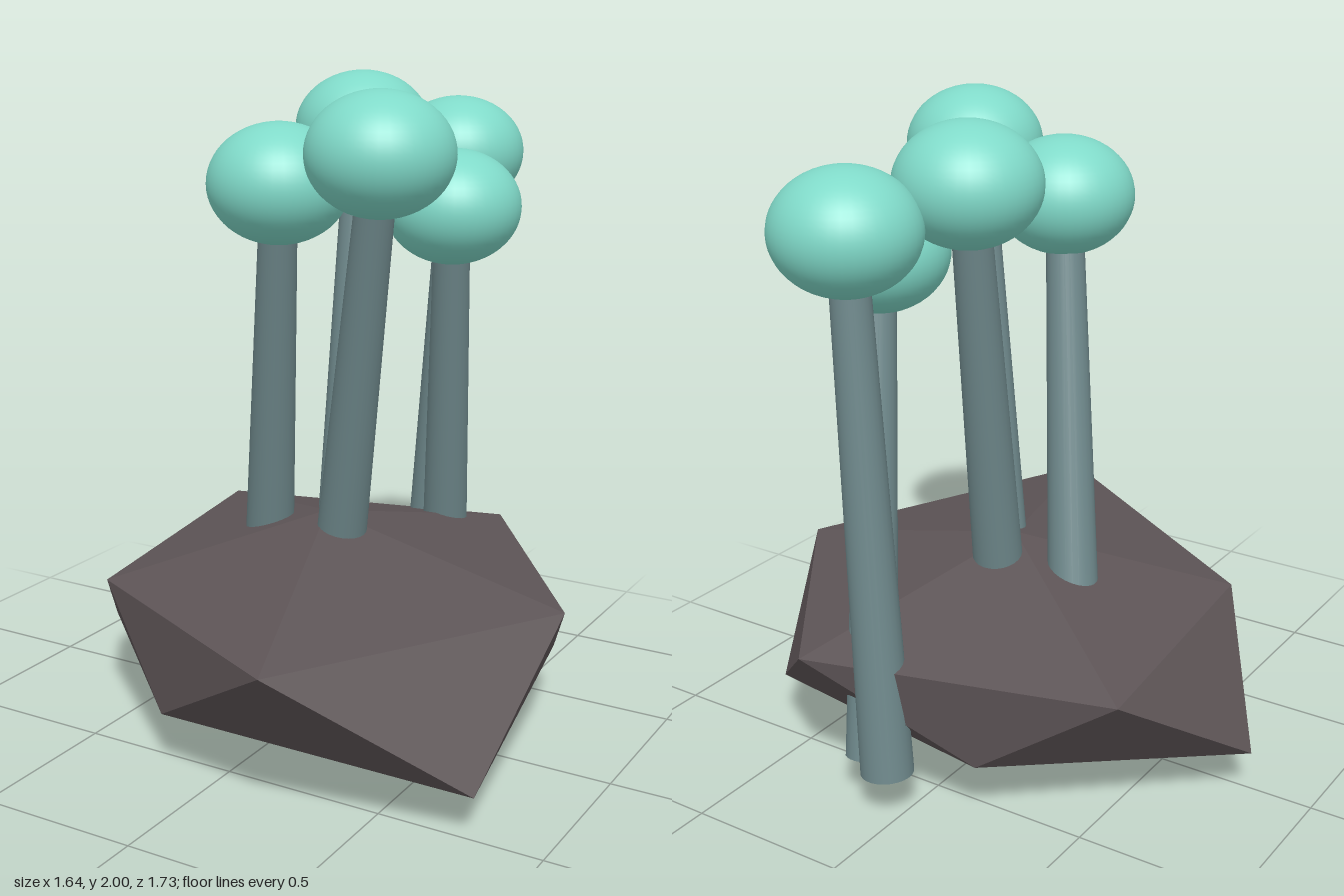
import * as THREE from 'three';

const stone = new THREE.MeshStandardMaterial({ color: 0x5e5557 });
stone.name = 'darkStone';
stone.flatShading = true;
const bark = new THREE.MeshStandardMaterial({ color: 0x6f898c });
bark.name = 'greyTealBark';
const leaf = new THREE.MeshStandardMaterial({ color: 0x80dac9 });
leaf.name = 'mintFoliage';

// Rock: an uneven twelve-cornered boulder, a peak, two rings of five and a foot
function makeRock() {
  const peak = [0.02, 0.665, -0.04];
  const foot = [0.04, 0, -0.04];
  const upper = [[0.335, 0.51, 0.865], [0.82, 0.48, -0.045], [0.28, 0.48, -0.785], [-0.64, 0.485, -0.54], [-0.535, 0.46, 0.37]];
  const lower = [[0.8, 0.135, 0.515], [0.62, 0.18, -0.47], [-0.22, 0.2, -0.62], [-0.82, 0.15, -0.045], [-0.17, 0.185, 0.6]];
  const points = [];
  for (let i = 0; i < 5; i++) {
    const j = (i + 1) % 5;
    points.push(
      peak, upper[i], upper[j],
      upper[i], lower[i], upper[j],
      lower[i], lower[j], upper[j],
      foot, lower[j], lower[i],
    );
  }
  const geometry = new THREE.BufferGeometry();
  geometry.setAttribute('position', new THREE.Float32BufferAttribute(points.flat(), 3));
  geometry.computeVertexNormals();
  const rock = new THREE.Mesh(geometry, stone);
  rock.name = 'rock';
  return rock;
}

// Tree: a leaning tapered trunk with a slightly squashed round crown
function makeTree(base, top) {
  const tree = new THREE.Group();
  tree.name = 'tree';
  const from = new THREE.Vector3(...base);
  const to = new THREE.Vector3(...top);
  const axis = to.clone().sub(from);

  const trunk = new THREE.Mesh(new THREE.CylinderGeometry(0.055, 0.079, axis.length(), 24), bark);
  trunk.name = 'trunk';
  trunk.position.copy(from).add(to).multiplyScalar(0.5);
  trunk.quaternion.setFromUnitVectors(new THREE.Vector3(0, 1, 0), axis.normalize());

  const crown = new THREE.Mesh(new THREE.SphereGeometry(0.211, 40, 28), leaf);
  crown.name = 'crown';
  crown.scale.y = 0.84;
  crown.position.copy(to);

  tree.add(trunk, crown);
  return tree;
}

export function createModel() {
  const model = new THREE.Group();
  model.name = 'rockWithTrees';
  model.add(makeRock());

  // Trunk foot and crown centre of each tree
  const trees = [
    [[0.02, 0.5, -0.125], [-0.03, 1.823, -0.345]],
    [[-0.22, 0.45, -0.08], [-0.03, 1.702, 0.155]],
    [[0.075, 0.5, -0.015], [0.335, 1.81, 0.22]],
    [[0.135, 0.14, -0.645], [0.28, 1.597, -0.355]],
    [[0.04, 0.14, -0.695], [0.15, 1.732, -0.655]],
  ];
  for (const [base, top] of trees) model.add(makeTree(base, top));
  return model;
}
